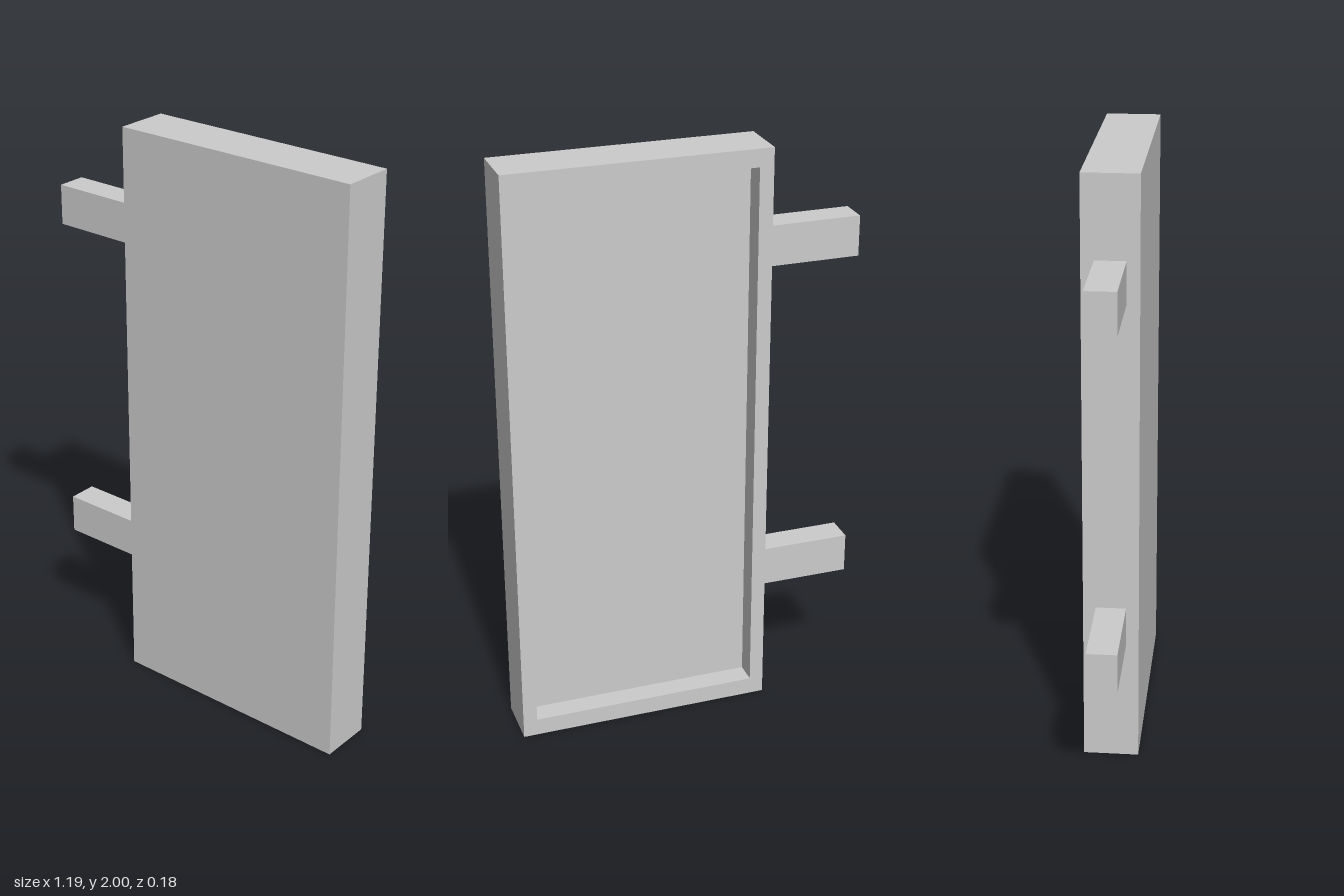
import * as THREE from 'three';

const LEFT = 0.597, RIGHT = -0.278, HEIGHT = 2;
const FRONT = 0.092, BACK = -0.092, FLOOR = -0.015;

export function createModel() {
  const model = new THREE.Group();
  const material = new THREE.MeshStandardMaterial({ color: 0xcccccc, flatShading: true });

  const add = (name, geometry, x, y, z) => {
    const mesh = new THREE.Mesh(geometry, material);
    mesh.name = name;
    mesh.position.set(x, y, z);
    model.add(mesh);
  };

  const width = LEFT - RIGHT;
  const centreX = (LEFT + RIGHT) / 2;

  // Solid front slab
  add('frontPanel', new THREE.BoxGeometry(width, HEIGHT, FRONT - FLOOR),
    centreX, HEIGHT / 2, (FRONT + FLOOR) / 2);

  // Rim around the recessed back
  const rect = (path, w, h) => {
    path.moveTo(-w / 2, -h / 2);
    path.lineTo(w / 2, -h / 2);
    path.lineTo(w / 2, h / 2);
    path.lineTo(-w / 2, h / 2);
    path.closePath();
    return path;
  };
  const rim = rect(new THREE.Shape(), width, HEIGHT);
  rim.holes.push(rect(new THREE.Path(), width - 0.096, HEIGHT - 0.12));
  add('backRim', new THREE.ExtrudeGeometry(rim, { depth: FLOOR - BACK, bevelEnabled: false }),
    centreX, HEIGHT / 2, BACK);

  // Two mounting arms on the right edge
  const armLength = RIGHT + 0.597;
  for (const [name, y] of [['lowerArm', 0.483], ['upperArm', 1.661]]) {
    add(name, new THREE.BoxGeometry(armLength, 0.137, 0.1), RIGHT - armLength / 2, y, 0);
  }

  return model;
}
